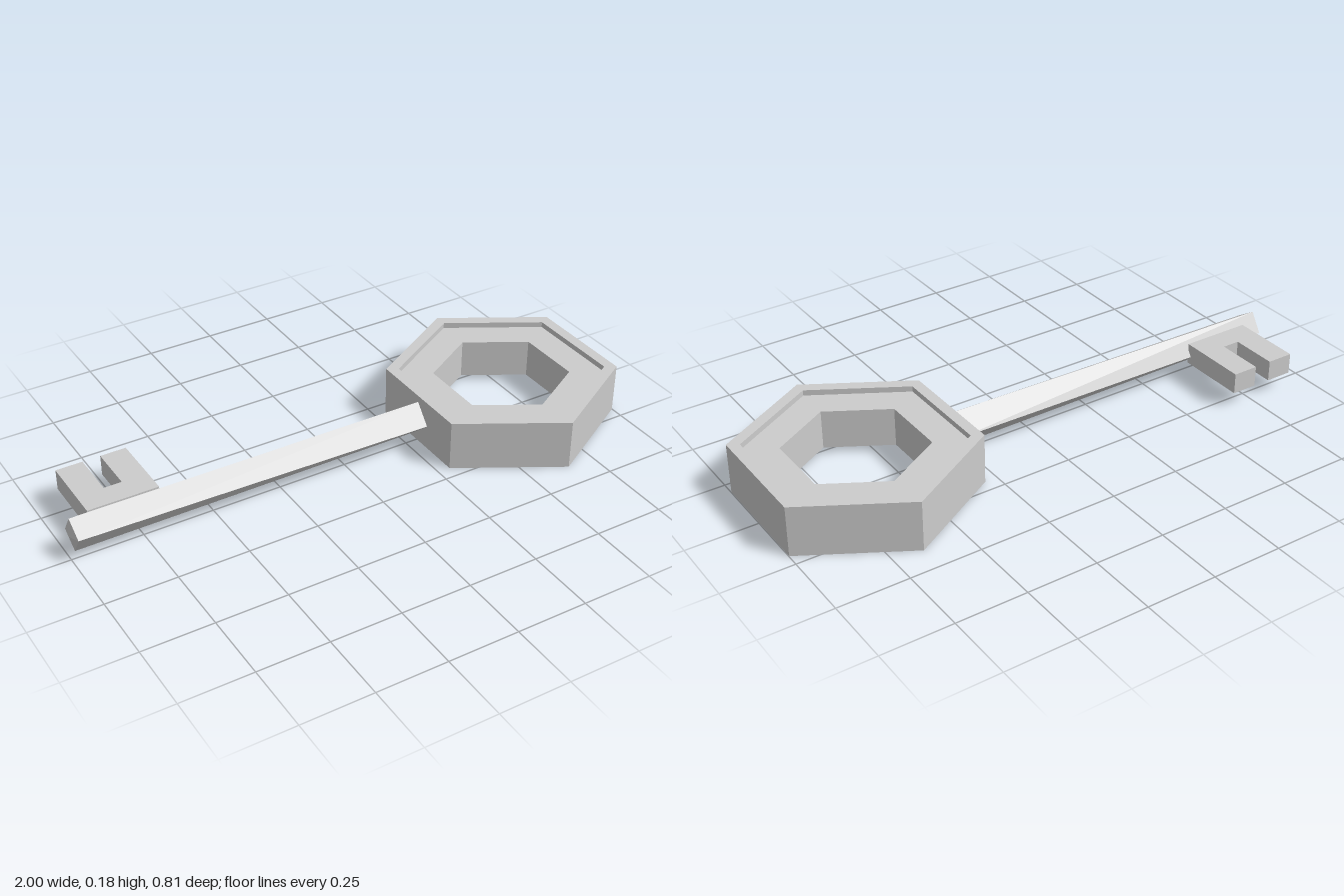
import * as THREE from 'three';

const material = new THREE.MeshStandardMaterial({ color: 0xcccccc, flatShading: true });

// Pointy hexagon outline, used for both shapes and holes
function hexagon(radius, Type) {
  const points = [];
  for (let i = 0; i < 6; i++) {
    const a = Math.PI / 2 + (i * Math.PI) / 3;
    points.push(new THREE.Vector2(radius * Math.cos(a), radius * Math.sin(a)));
  }
  return new Type(points);
}

// Extrude a plan shape upwards from height y0 to y1
function slab(name, shape, y0, y1) {
  const geometry = new THREE.ExtrudeGeometry(shape, { depth: y1 - y0, bevelEnabled: false });
  geometry.rotateX(-Math.PI / 2).translate(0, y0, 0);
  const mesh = new THREE.Mesh(geometry, material);
  mesh.name = name;
  return mesh;
}

function hexRing(name, outer, inner, y0, y1) {
  const shape = hexagon(outer, THREE.Shape);
  shape.holes.push(hexagon(inner, THREE.Path));
  return slab(name, shape, y0, y1);
}

// Four-sided shaft, slightly twisted and tapered, with a shallow pointed tip
function createShaft() {
  const cy = 0.092;
  const section = (x, radius, degrees) =>
    [0, 1, 2, 3].map((k) => {
      const a = THREE.MathUtils.degToRad(degrees + 90 * k);
      return [x, cy + radius * Math.sin(a), -0.003 + radius * Math.cos(a)];
    });
  const left = section(-0.988, 0.057, 12);
  const right = section(0.31, 0.064, -4);
  const tip = [-1, cy, 0];
  const end = [0.31, cy, 0];
  const corners = [];
  for (let k = 0; k < 4; k++) {
    const n = (k + 1) % 4;
    corners.push(left[k], right[k], right[n], left[k], right[n], left[n]);
    corners.push(tip, left[k], left[n], end, right[n], right[k]);
  }
  const geometry = new THREE.BufferGeometry();
  geometry.setAttribute('position', new THREE.Float32BufferAttribute(corners.flat(), 3));
  geometry.computeVertexNormals();
  const mesh = new THREE.Mesh(geometry, material);
  mesh.name = 'shaft';
  return mesh;
}

export function createModel() {
  const key = new THREE.Group();
  key.name = 'key';

  // Bow: raised rim around a recessed plate with a hexagonal hole
  const bow = new THREE.Group();
  bow.name = 'bow';
  bow.position.x = 0.647;
  bow.add(hexRing('bowRim', 0.406, 0.362, 0, 0.18));
  bow.add(hexRing('bowPlate', 0.364, 0.24, 0.02, 0.16));
  key.add(bow);

  key.add(createShaft());

  // Bit: two teeth pointing to the back (plan coordinates are x and -z)
  const outline = [
    [-0.915, 0.045], [-0.665, 0.045], [-0.665, 0.3], [-0.757, 0.3],
    [-0.757, 0.13], [-0.82, 0.13], [-0.82, 0.3], [-0.915, 0.3],
  ].map(([x, y]) => new THREE.Vector2(x, y));
  key.add(slab('bit', new THREE.Shape(outline), 0.055, 0.13));

  return key;
}
